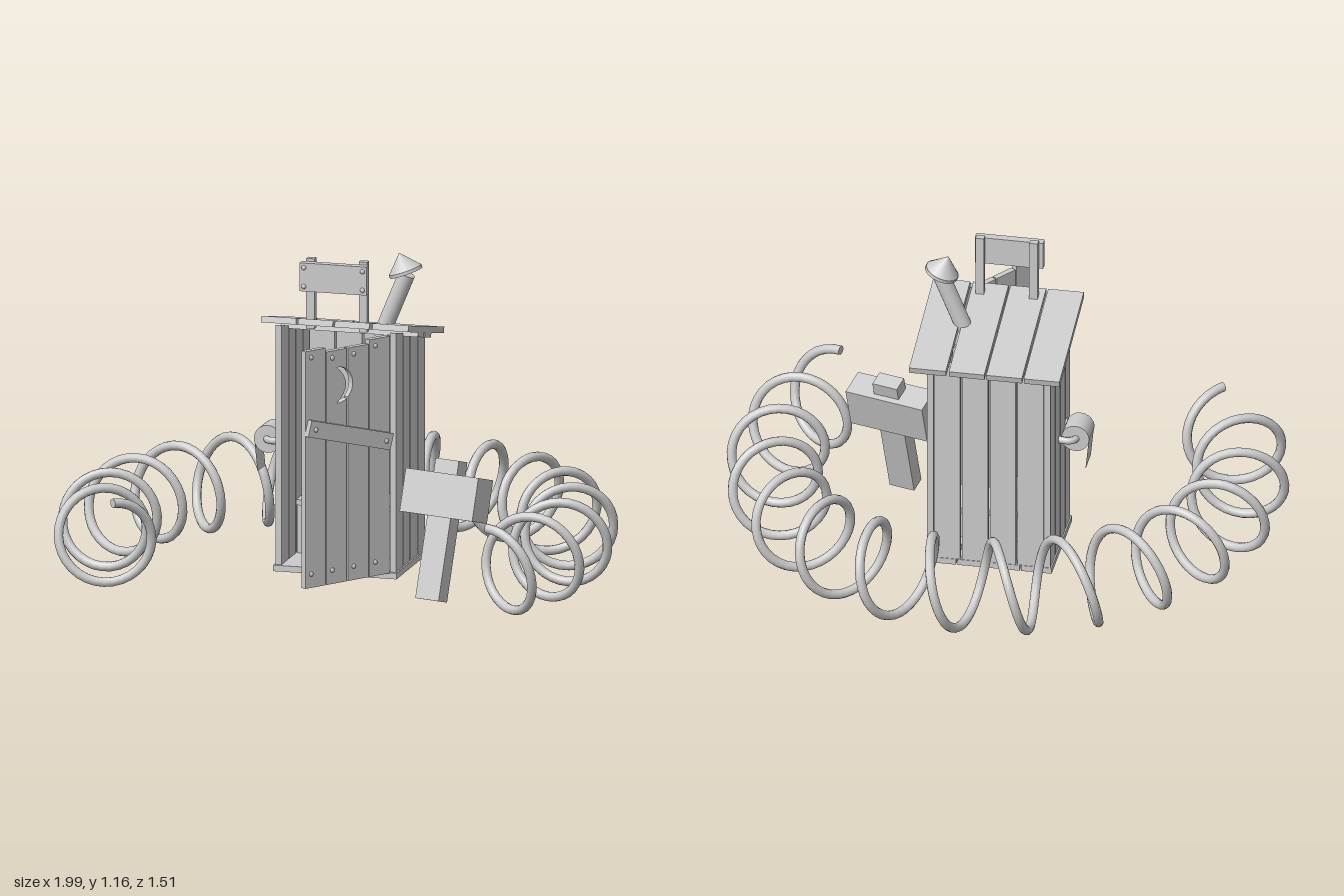
import * as THREE from 'three';

const mat = new THREE.MeshStandardMaterial({ color: 0xcccccc });
const thinMat = new THREE.MeshStandardMaterial({ color: 0xcccccc, side: THREE.DoubleSide });

function add(parent, name, geometry, x = 0, y = 0, z = 0, material = mat) {
  const mesh = new THREE.Mesh(geometry, material);
  mesh.name = name;
  mesh.position.set(x, y, z);
  parent.add(mesh);
  return mesh;
}

function group(parent, name, x = 0, y = 0, z = 0) {
  const g = new THREE.Group();
  g.name = name;
  g.position.set(x, y, z);
  parent.add(g);
  return g;
}

// Box given by its minimum and maximum corners
function box(parent, name, x0, x1, y0, y1, z0, z1) {
  return add(parent, name, new THREE.BoxGeometry(x1 - x0, y1 - y0, z1 - z0),
    (x0 + x1) / 2, (y0 + y1) / 2, (z0 + z1) / 2);
}

// Wall plank whose top follows the slope of the roof
const SLOPE = 0.24;
const wallTop = (z) => 0.868 + SLOPE * z;
function wallPlank(parent, name, x0, x1, z0, z1) {
  const mesh = box(parent, name, x0, x1, 0.05, 1, z0, z1);
  const p = mesh.geometry.attributes.position;
  for (let i = 0; i < p.count; i++) {
    if (p.getY(i) > 0) p.setY(i, wallTop(p.getZ(i) + mesh.position.z) - mesh.position.y);
  }
  mesh.geometry.computeVertexNormals();
}

function nail(parent, x, y, z) {
  add(parent, 'nail', new THREE.SphereGeometry(0.009, 8, 6), x, y, z).scale.z = 0.7;
}

function buildHut(root) {
  const hut = group(root, 'hut');
  for (let i = 0; i < 4; i++) {
    const z = -0.16 + i * 0.094;
    wallPlank(hut, 'rightWallPlank', -0.23, -0.208, z, z + 0.087);
    wallPlank(hut, 'leftWallPlank', 0.19, 0.212, z, z + 0.087);
    const x = -0.206 + i * 0.1;
    wallPlank(hut, 'backWallPlank', x, x + 0.093, -0.16, -0.14);
    const fx = -0.235 + i * 0.1145;
    box(hut, 'floorPlank', fx, fx + 0.109, 0.028, 0.05, -0.162, 0.222);
  }
  // Bench inside
  box(hut, 'benchTop', -0.206, 0.188, 0.225, 0.245, -0.139, 0.03);
  box(hut, 'benchFront', -0.206, 0.188, 0.05, 0.225, 0.0, 0.02);
}

function buildRoof(root) {
  const roof = group(root, 'roof', 0, 0.888, 0.0075);
  roof.rotation.x = -Math.atan(SLOPE);
  const edges = [[-0.275, -0.147], [-0.14, -0.012], [-0.005, 0.122], [0.133, 0.265]];
  for (const [a, b] of edges) box(roof, 'roofPlank', a, b, -0.0115, 0.0115, -0.235, 0.235);
  for (const z of [0.065, -0.03]) box(roof, 'roofBatten', -0.235, 0.265, -0.028, -0.0115, z - 0.04, z + 0.04);

  // Sign on two posts
  const sign = group(root, 'sign');
  for (const x of [-0.105, 0.088]) box(sign, 'signPost', x - 0.015, x + 0.015, 0.91, 1.165, 0.175, 0.2);
  box(sign, 'signBoard', -0.135, 0.11, 1.052, 1.155, 0.2, 0.23);
  for (const x of [-0.12, 0.095]) for (const y of [1.07, 1.138]) nail(sign, x, y, 0.232);

  // Leaning stove pipe with a crooked cap
  const pipe = add(root, 'chimneyPipe', new THREE.CylinderGeometry(0.03, 0.03, 0.25, 20), 0.153, 0.975, 0.03);
  pipe.rotation.z = -0.39;
  const cap = group(root, 'chimneyCap', 0.196, 1.1, 0.03);
  cap.rotation.z = 0.35;
  add(cap, 'capRim', new THREE.CylinderGeometry(0.061, 0.061, 0.012, 20));
  add(cap, 'capCone', new THREE.ConeGeometry(0.061, 0.065, 20), 0, 0.037, 0);
}

function buildDoor(root) {
  // Local x runs from the hinge to the free edge; local -z is the outside
  const door = group(root, 'door', 0.185, 0, 0.22);
  door.rotation.y = -2.189;
  const spans = [[0, 0.091, 0.91], [0.096, 0.189, 0.895], [0.194, 0.284, 0.895], [0.289, 0.38, 0.91]];
  const C = 0.232, Y = 0.767, R = 0.065;
  const onCircle = (t) => [C + R * Math.cos(t), Y + R * Math.sin(t)];
  spans.forEach(([a, b, top], i) => {
    let points = [[a, 0.05], [b, 0.05], [b, top], [a, top]];
    if (i === 1) { // outer curve of the crescent
      const t = Math.acos((b - C) / R), arc = [];
      for (let k = 0; k <= 10; k++) arc.push(onCircle(-t - (2 * Math.PI - 2 * t) * k / 10));
      points = [[a, 0.05], [b, 0.05], ...arc, [b, top], [a, top]];
    }
    if (i === 2) { // horns and inner curve of the crescent
      const t = Math.acos((a - C) / R), horn = Math.PI / 2 - 0.1, upper = [], inner = [];
      for (let k = 0; k <= 4; k++) upper.push(onCircle(t + (horn - t) * k / 4));
      const [hx, hy] = upper[4];
      for (let k = 1; k < 12; k++) {
        const s = 1 - k / 6;
        inner.push([a + 0.003 + (hx - a - 0.003) * s * s, Y + (hy - Y) * s]);
      }
      const lower = upper.map(([x, y]) => [x, 2 * Y - y]).reverse();
      points = [[a, 0.05], [b, 0.05], [b, top], [a, top], ...upper, ...inner, ...lower];
    }
    const shape = new THREE.Shape(points.map(([x, y]) => new THREE.Vector2(x, y)));
    add(door, 'doorPlank', new THREE.ExtrudeGeometry(shape, { depth: 0.022, bevelEnabled: false }), 0, 0, -0.011);
    const m = (a + b) / 2;
    for (const y of [0.1, top - 0.025]) nail(door, m + 0.02, y, -0.012);
  });
  const batten = group(door, 'doorBatten', 0.19, 0.582, -0.021);
  batten.rotation.z = 0.27;
  box(batten, 'battenBoard', -0.192, 0.192, -0.03, 0.03, -0.01, 0.01);
  for (const x of [-0.165, 0.165]) nail(batten, x, 0, -0.012);
}

function buildMallet(root) {
  const mallet = group(root, 'mallet', 0.4, 0.009, 0.415);
  mallet.rotation.order = 'YXZ';
  mallet.rotation.set(-0.28, -0.27, 0);
  box(mallet, 'malletHandle', -0.048, 0.048, 0, 0.5, -0.03, 0.03);
  box(mallet, 'malletHead', -0.15, 0.15, 0.295, 0.45, -0.052, 0.052);
}

function buildPaperRoll(root) {
  const holder = group(root, 'paperRollHolder', -0.285, 0.48, 0.07);
  const roll = add(holder, 'paperRoll', new THREE.CylinderGeometry(0.05, 0.05, 0.1, 20));
  roll.rotation.x = Math.PI / 2;
  const path = new THREE.CatmullRomCurve3([[0.06, 0, -0.065], [0.02, 0, -0.07], [0, 0, -0.055],
    [0, 0, 0.055], [0.02, 0, 0.07], [0.06, 0, 0.065]].map((p) => new THREE.Vector3(...p)));
  add(holder, 'rollBar', new THREE.TubeGeometry(path, 32, 0.013, 8));
  const sheet = add(holder, 'paperSheet', new THREE.PlaneGeometry(0.1, 0.13), -0.043, -0.055, 0, thinMat);
  sheet.rotation.order = 'ZYX';
  sheet.rotation.set(0, Math.PI / 2, 0.1);
}

// Coil spring bent into a horseshoe
class HorseshoeCoil extends THREE.Curve {
  getPoint(t, target = new THREE.Vector3()) {
    const phi = (t * 2 - 1) * 2.159, turn = t * 15 * Math.PI * 2;
    const r = 0.825 - 0.157 * Math.sin(turn);
    return target.set(r * Math.sin(phi), 0.197 + 0.157 * Math.cos(turn), 0.24 - r * Math.cos(phi));
  }
}

function buildSpring(root) {
  const coil = new HorseshoeCoil();
  coil.arcLengthDivisions = 1000;
  const spring = group(root, 'spring');
  add(spring, 'springCoil', new THREE.TubeGeometry(coil, 480, 0.017, 10));
  for (const t of [0, 1]) {
    const end = add(spring, 'springEnd', new THREE.CircleGeometry(0.017, 10), 0, 0, 0, thinMat);
    end.position.copy(coil.getPoint(t));
    end.lookAt(end.position.clone().add(coil.getTangent(t)));
  }
}

export function createModel() {
  const root = new THREE.Group();
  root.name = 'outhouseWithSpring';
  buildHut(root);
  buildRoof(root);
  buildDoor(root);
  buildMallet(root);
  buildPaperRoll(root);
  buildSpring(root);
  return root;
}
